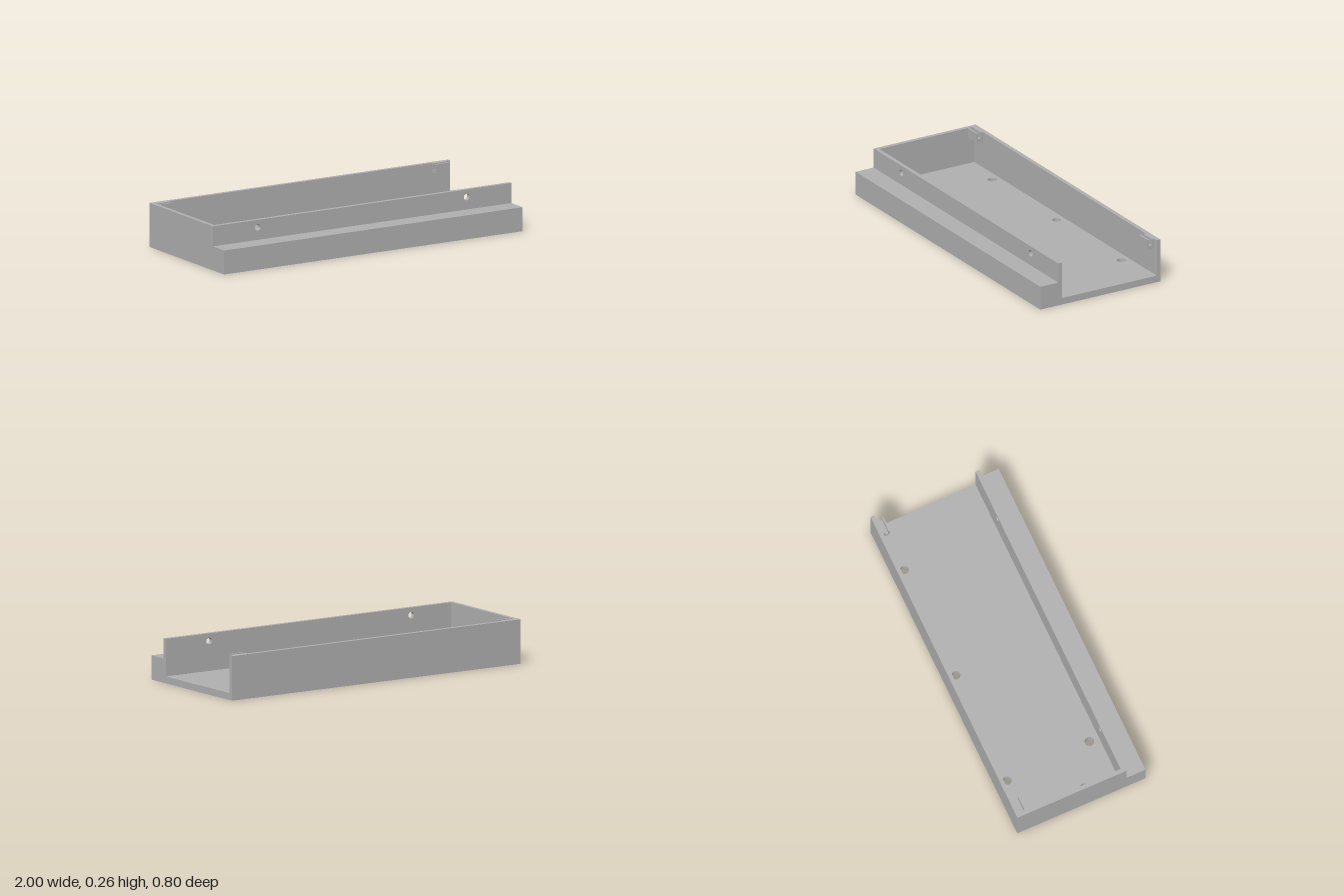
import * as THREE from 'three';

const H = 0.257, FLOOR = 0.04, STEP = 0.14, BLIND = 0.1, WALL = 0.024;

// Rectangle outline with round holes given as [x, y, radius]
function plate(x0, x1, y0, y1, holes = []) {
  const s = new THREE.Shape();
  s.moveTo(x0, y0).lineTo(x1, y0).lineTo(x1, y1).lineTo(x0, y1).closePath();
  for (const [x, y, r] of holes) {
    s.holes.push(new THREE.Path().absarc(x, y, r, 0, Math.PI * 2, true));
  }
  return s;
}

const extrude = (shape, depth) =>
  new THREE.ExtrudeGeometry(shape, { depth, bevelEnabled: false, curveSegments: 24 });

// Horizontal slab between heights y0 and y1, holes as [x, z, radius]
function slab(x0, x1, z0, z1, y0, y1, holes = []) {
  const shape = plate(x0, x1, -z1, -z0, holes.map(([x, z, r]) => [x, -z, r]));
  return extrude(shape, y1 - y0).rotateX(-Math.PI / 2).translate(0, y0, 0);
}

export function createModel() {
  const group = new THREE.Group();
  const grey = new THREE.MeshStandardMaterial({ color: 0xb0b0b0 });
  grey.name = 'matte grey';
  const add = (name, geometry) => {
    const mesh = new THREE.Mesh(geometry, grey);
    mesh.name = name;
    group.add(mesh);
  };

  // Floor with mounting holes; the last two continue blind into the ledge
  const through = [
    [-0.7, -0.325, 0.025], [0, -0.325, 0.025], [0.7, -0.325, 0.025],
    [-0.92, 0.055, 0.024], [-0.68, 0.197, 0.027],
  ];
  const blind = [[0.79, 0.34, 0.021], [-0.41, 0.34, 0.021]];
  add('floor', slab(-1, 1, -0.4, 0.4, 0, FLOOR, [...through, ...blind]));

  // Front ledge
  add('ledgeLower', slab(-1, 1, 0.28, 0.4, FLOOR, BLIND, blind));
  add('ledgeTop', slab(-1, 1, 0.28, 0.4, BLIND, STEP));

  // Walls: the left-hand end seen from the front is closed, the other is open
  const screwHoles = [-0.7, 0.7].map((x) => [x, 0.213, 0.019]);
  add('frontWall', extrude(plate(-1, 1, FLOOR, H, screwHoles), WALL).translate(0, 0, 0.28 - WALL));
  add('backWall', extrude(plate(-1, 1, FLOOR, H), WALL).translate(0, 0, -0.4));
  add('endWall', slab(-1, -1 + WALL, -0.4 + WALL, 0.28 - WALL, FLOOR, H));

  // U-shaped clips on the inside of the back wall
  const clip = new THREE.Shape([
    [0.333, 0.2], [0.376, 0.2], [0.376, H], [0.362, H],
    [0.362, 0.22], [0.343, 0.22], [0.343, H], [0.333, H],
  ].map(([x, y]) => new THREE.Vector2(x, y)));
  for (const [name, x] of [['rightClip', -0.976], ['leftClip', 0.878]]) {
    add(name, extrude(clip, 0.094).rotateY(Math.PI / 2).translate(x, 0, 0));
  }
  return group;
}
